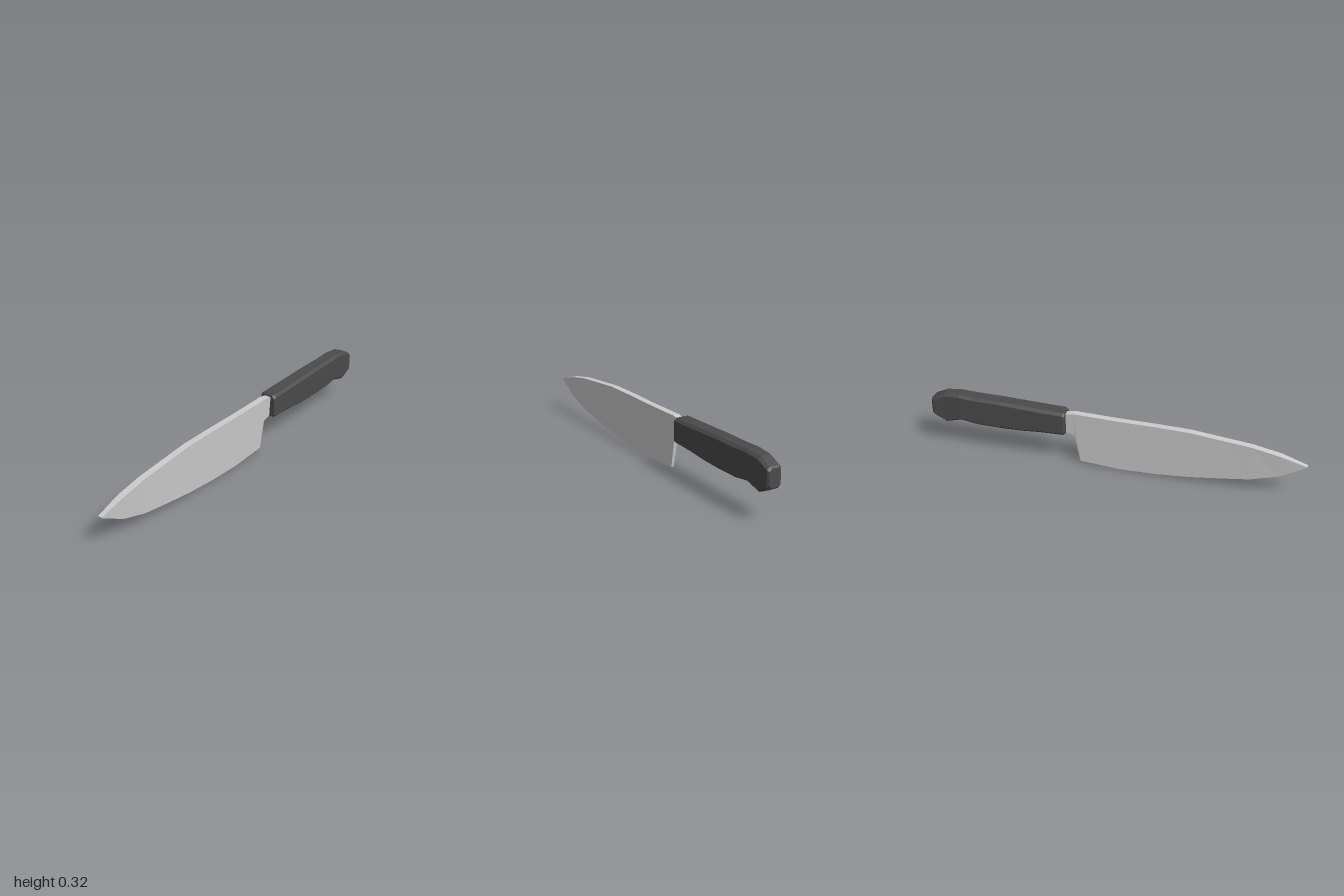
import * as THREE from 'three';

// Skins convex rings (counter-clockwise seen from +z, ordered back to front) and caps both ends.
function loft(name, rings, color) {
  const n = rings[0].length;
  const last = (rings.length - 1) * n;
  const index = [];
  for (let i = 0; i < last; i += n) {
    for (let j = 0; j < n; j++) {
      const k = (j + 1) % n;
      index.push(i + j, i + k, i + n + k, i + j, i + n + k, i + n + j);
    }
  }
  for (let j = 1; j < n - 1; j++) {
    index.push(0, j + 1, j, last, last + j, last + j + 1);
  }
  const indexed = new THREE.BufferGeometry();
  indexed.setAttribute('position', new THREE.Float32BufferAttribute(rings.flat(2), 3));
  indexed.setIndex(index);
  const geometry = indexed.toNonIndexed();
  geometry.computeVertexNormals();
  const mesh = new THREE.Mesh(geometry, new THREE.MeshStandardMaterial({ color, flatShading: true }));
  mesh.name = name;
  return mesh;
}

// Wedge section: thick spine, thin cutting edge.
function bladeRing([z, bottom, top, spine = 0.018]) {
  const edge = 0.007 + 0.022 * bottom;
  return [[edge, bottom, z], [spine, top, z], [-spine, top, z], [-edge, bottom, z]];
}

// Rectangle with chamfered corners.
function handleRing([z, bottom, top, w, c = 0.014]) {
  return [
    [w - c, bottom, z], [w, bottom + c, z], [w, top - c, z], [w - c, top, z],
    [c - w, top, z], [-w, top - c, z], [-w, bottom + c, z], [c - w, bottom, z],
  ];
}

export function createModel() {
  const model = new THREE.Group();
  model.name = 'kitchenKnife';

  // Blade from the neck, past the heel, to the point: z, edge height, spine height
  const blade = [
    [-0.30, 0.19, 0.29],
    [-0.255, 0.182, 0.294],
    [-0.21, 0.17, 0.302],
    [-0.18, 0.014, 0.301],
    [0.03, 0.0, 0.297],
    [0.22, 0.005, 0.297],
    [0.40, 0.02, 0.294],
    [0.57, 0.043, 0.277],
    [0.72, 0.066, 0.262],
    [0.865, 0.112, 0.234],
    [1.0, 0.189, 0.193, 0.0115],
  ];
  model.add(loft('blade', blade.map(bladeRing), 0xcccccc));

  // Handle from the butt to the front rim: z, underside, top, half width
  const handle = [
    [-1.0, 0.186, 0.28, 0.032],
    [-0.99, 0.177, 0.288, 0.039],
    [-0.925, 0.146, 0.318, 0.040],
    [-0.84, 0.172, 0.325, 0.043],
    [-0.75, 0.159, 0.320, 0.044],
    [-0.61, 0.158, 0.319, 0.045],
    [-0.50, 0.162, 0.315, 0.046],
    [-0.38, 0.172, 0.311, 0.047],
    [-0.264, 0.176, 0.308, 0.047],
    [-0.254, 0.182, 0.302, 0.041],
  ];
  model.add(loft('handle', handle.map(handleRing), 0x4a4a4a));

  return model;
}
